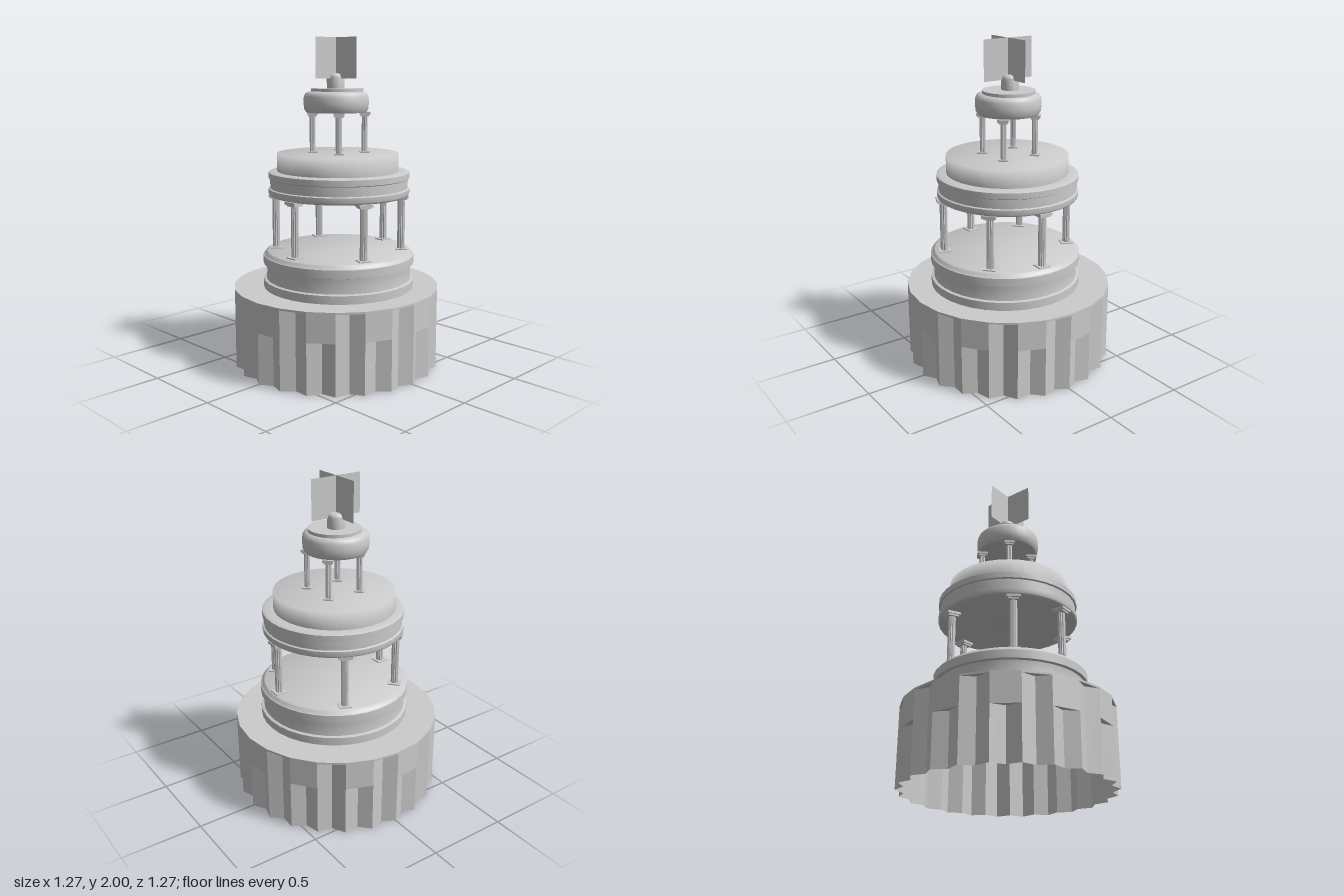
import * as THREE from 'three';
import { toCreasedNormals } from 'three/addons/utils/BufferGeometryUtils.js';

const smooth = new THREE.MeshStandardMaterial({ color: 0xcccccc, side: THREE.DoubleSide });
const flat = new THREE.MeshStandardMaterial({ color: 0xcccccc, side: THREE.DoubleSide, flatShading: true });

export function createModel() {
  const model = new THREE.Group();

  const add = (name, geometry, material = smooth, parent = model) => {
    const mesh = new THREE.Mesh(geometry, material);
    mesh.name = name;
    parent.add(mesh);
    return mesh;
  };

  // Turned part from [radius, height] pairs, bottom to top
  const turned = (name, profile, x, z, crease = 0.9) => {
    let g = new THREE.LatheGeometry(profile.map(([r, y]) => new THREE.Vector2(r, y)), 36);
    if (crease) g = toCreasedNormals(g, crease);
    add(name, g).position.set(x, 0, z);
  };

  // Pleated base skirt: 24 outer folds, 24 inner folds, open below
  const R = 0.635, GROOVE = 0.592, STEP = Math.PI / 24;
  const skirt = new THREE.CylinderGeometry(1, 1, 0.48, 48, 1, true);
  const p = skirt.attributes.position;
  for (let i = 0; i < p.count; i++) {
    const r = (i % 49) % 2 ? GROOVE : R;
    p.setXYZ(i, p.getX(i) * r, p.getY(i) + 0.24, p.getZ(i) * r);
  }
  add('pleatedSkirt', skirt, flat);
  const plate = new THREE.CylinderGeometry(R, R, 0.012, 24);
  plate.translate(0, 0.484, 0);
  add('basePlate', plate, flat);

  // Blocks filling the top of every second pleat
  const wedge = new THREE.Shape([[R, 0], [GROOVE, 1], [R, 2]].map(
    ([r, k]) => new THREE.Vector2(r * Math.sin(k * STEP), -r * Math.cos(k * STEP))));
  const block = new THREE.ExtrudeGeometry(wedge, { depth: 0.175, bevelEnabled: false });
  block.rotateX(-Math.PI / 2);
  for (let i = 0; i < 12; i++) {
    const mesh = add('skirtBlock', block, flat);
    mesh.position.y = 0.31;
    mesh.rotation.y = i * 4 * STEP;
  }

  // Lower drum with two bands and a rounded lip
  turned('lowerDrum', [
    [0, 0.474], [0.464, 0.474], [0.464, 0.54], [0.447, 0.545], [0.442, 0.59], [0.447, 0.635],
    [0.464, 0.64], [0.464, 0.69], [0.452, 0.695], [0.448, 0.708], [0.435, 0.716], [0, 0.716],
  ], 0, 0.023);

  // Column with square foot, fluted shaft and stepped capital
  const column = (name, x, z, y0, y1, r, cx, cz) => {
    const g = new THREE.Group();
    g.name = name;
    const h = y1 - y0;
    const slab = (part, w, t, y) =>
      add(part, new THREE.BoxGeometry(w, t, w), flat, g).position.set(0, y, 0);
    slab('foot', r * 3.2, 0.01, 0.004);
    const shaft = new THREE.CylinderGeometry(r, r, h, 24, 1, true);
    const v = shaft.attributes.position;
    for (let i = 0; i < v.count; i++) {
      const k = (i % 25) % 2 ? 0.85 : 1;
      v.setX(i, v.getX(i) * k);
      v.setZ(i, v.getZ(i) * k);
    }
    add('shaft', shaft, flat, g).position.y = h / 2;
    slab('capitalNeck', r * 2.8, 0.01, h - 0.021);
    slab('capital', r * 3.6, 0.016, h - 0.008);
    g.position.set(x, y0, z);
    g.rotation.y = Math.atan2(x - cx, z - cz);
    model.add(g);
  };

  [[0.397, 0.037], [0.26, 0.307], [-0.148, 0.375], [-0.375, 0.037], [-0.254, -0.27], [0.169, -0.328]]
    .forEach(([x, z]) => column('lowerColumn', x, z, 0.714, 1.053, 0.023, 0.01, 0.02));

  // Middle ring and the softly shaded drum on it
  turned('middleRing', [
    [0, 1.052], [0.415, 1.052], [0.428, 1.058], [0.431, 1.065], [0.431, 1.095], [0.421, 1.1],
    [0.421, 1.155], [0.431, 1.16], [0.431, 1.195], [0.415, 1.202], [0.36, 1.202],
  ], 0.013, 0.013);
  turned('middleDrum', [[0.371, 1.2], [0.371, 1.31], [0, 1.31]], 0.005, 0.01, 0);

  for (const x of [-0.095, 0.127])
    for (const z of [-0.106, 0.12]) column('upperColumn', x, z, 1.31, 1.557, 0.018, 0.016, 0.007);

  // Crown: rounded cup, disc and knob
  turned('crownCup', [
    [0, 1.556], [0.182, 1.556], [0.194, 1.575], [0.198, 1.61], [0.196, 1.65],
    [0.188, 1.668], [0.172, 1.678], [0.15, 1.681], [0, 1.681],
  ], 0.002, 0);
  turned('crownDisc', [[0.158, 1.678], [0.158, 1.698], [0, 1.698]], 0.01, 0.002);
  turned('knob', [
    [0.053, 1.695], [0.053, 1.765], [0.049, 1.778], [0.039, 1.786], [0.02, 1.789], [0, 1.786],
  ], 0.006, -0.01);

  // Crossed vanes at the very top
  for (const turn of [0, Math.PI / 2]) {
    const vane = add('vane', new THREE.PlaneGeometry(0.34, 0.242));
    vane.position.y = 1.879;
    vane.rotation.y = turn;
  }
  return model;
}
